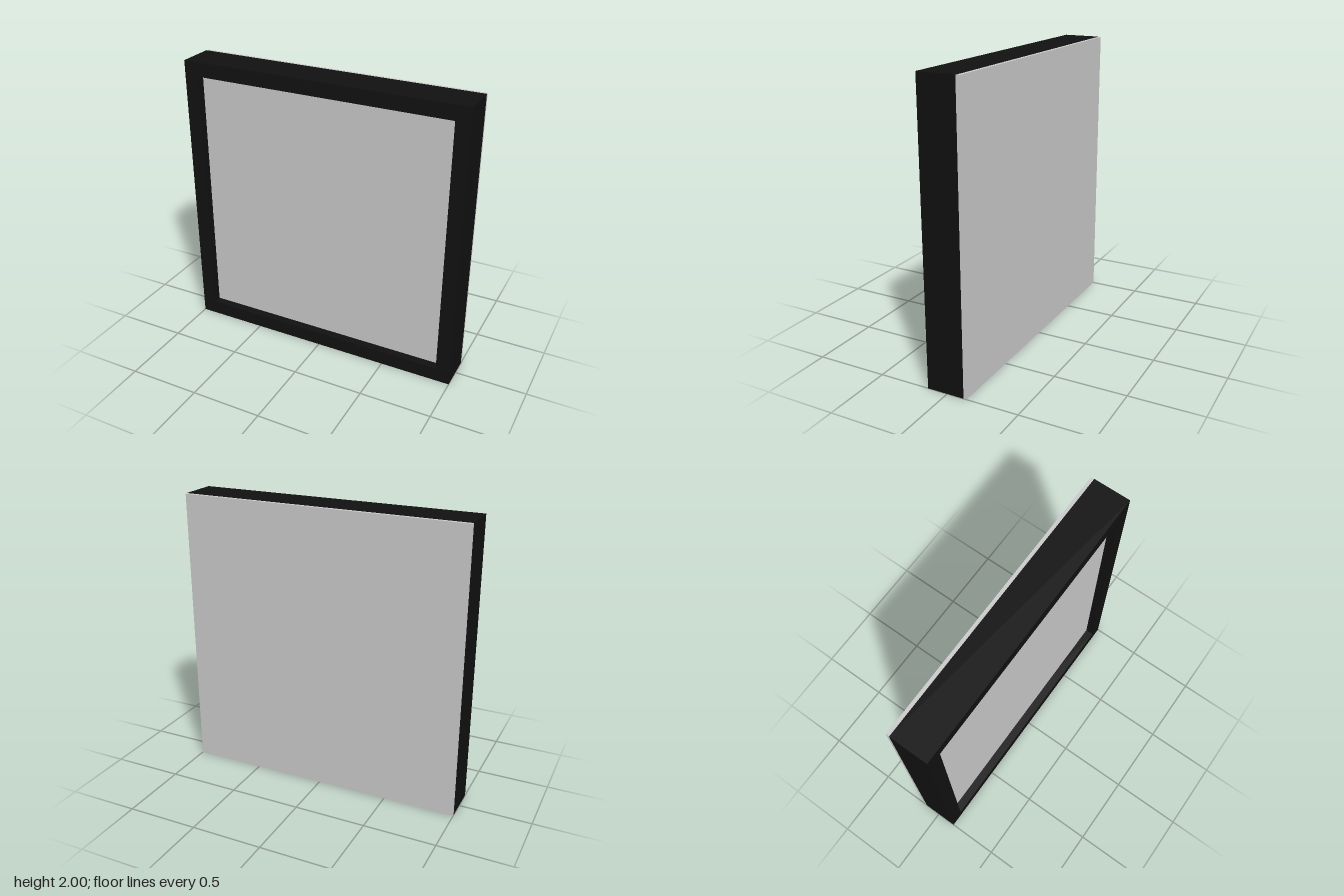
import * as THREE from 'three';

const grey = new THREE.MeshStandardMaterial({ color: 0xcccccc });
const black = new THREE.MeshStandardMaterial({ color: 0x111111 });

// Corners of a centred square, counter-clockwise
function square(half) {
  return [[-half, -half], [half, -half], [half, half], [-half, half]]
    .map(([x, y]) => new THREE.Vector2(x, y));
}

// Upright square slab between two depths
function slab(name, size, zBack, zFront) {
  const mesh = new THREE.Mesh(new THREE.BoxGeometry(size, size, zFront - zBack), grey);
  mesh.name = name;
  mesh.position.set(0, 1, (zBack + zFront) / 2);
  return mesh;
}

export function createModel() {
  const group = new THREE.Group();
  group.name = 'pictureFrame';

  // Square border with an open centre
  const outline = new THREE.Shape(square(1));
  outline.holes.push(new THREE.Path(square(0.9).reverse()));
  const frame = new THREE.Mesh(
    new THREE.ExtrudeGeometry(outline, { depth: 0.26, bevelEnabled: false }), black);
  frame.name = 'frame';
  frame.position.set(0, 1, -0.118);
  group.add(frame);

  // Recessed picture and the board closing the back
  group.add(slab('picturePanel', 1.8, 0.063, 0.083));
  group.add(slab('backBoard', 1.996, -0.142, -0.118));

  return group;
}
